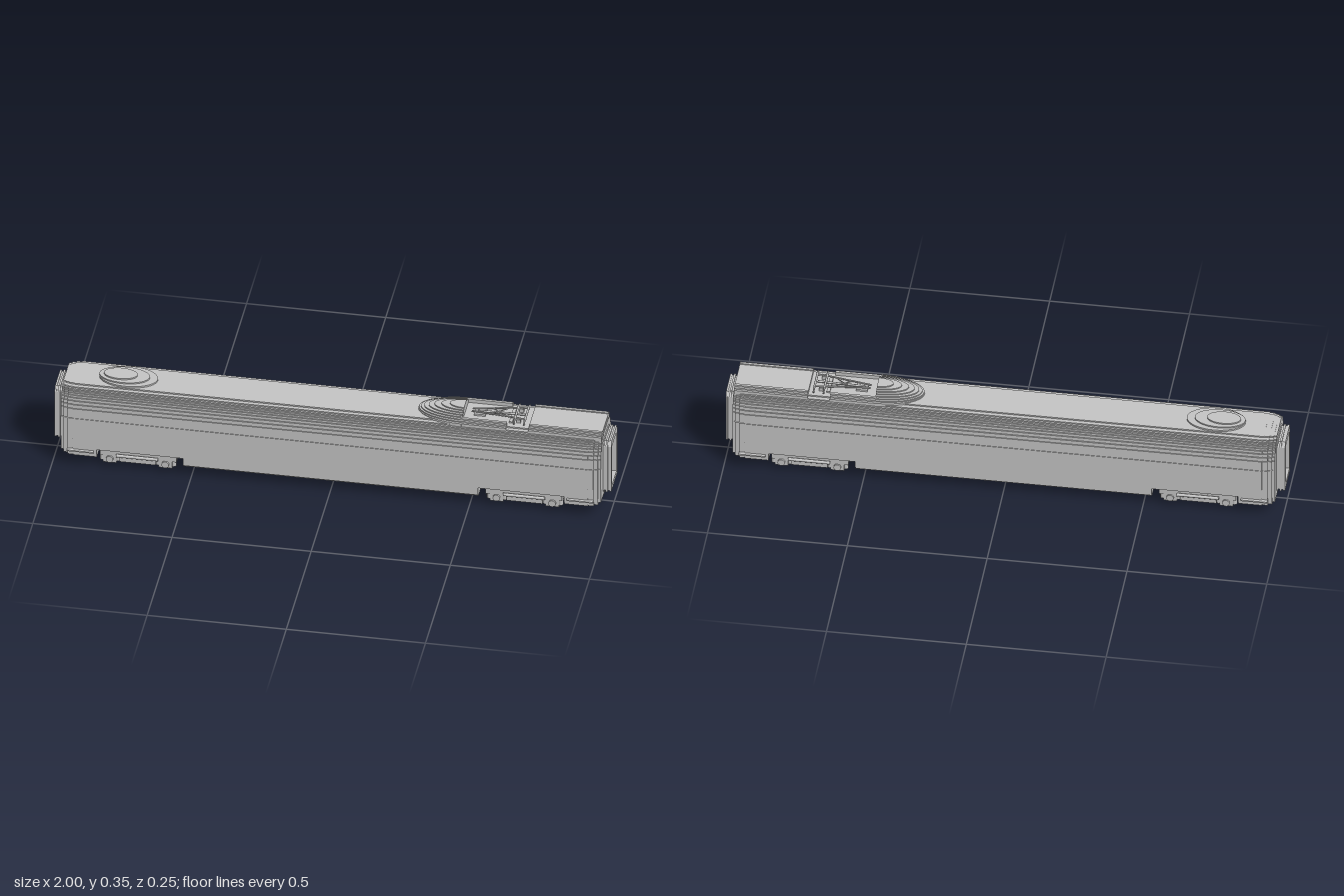
import * as THREE from 'three';

// Stepped half cross-section: [bottom y, half width] of each course, topmost ends at ROOF
const ROWS = [
  [0.035, 0.1], [0.042, 0.108], [0.05, 0.112], [0.06, 0.115], [0.08, 0.118], [0.12, 0.121],
  [0.205, 0.119], [0.245, 0.116], [0.26, 0.112], [0.273, 0.108], [0.284, 0.104], [0.292, 0.1],
  [0.299, 0.096], [0.305, 0.09], [0.31, 0.083], [0.315, 0.068],
];
const ROOF = 0.32;

export function createModel() {
  const grey = new THREE.MeshStandardMaterial({ color: 0xc5c5c5 });
  grey.name = 'lightGrey';
  const model = new THREE.Group();
  model.name = 'railCar';

  const add = (parent, name, geometry) => {
    const mesh = new THREE.Mesh(geometry, grey);
    mesh.name = name;
    parent.add(mesh);
    return mesh;
  };
  // Box given by its limits
  const box = (parent, name, x0, x1, y0, y1, z0, z1) => {
    const m = add(parent, name, new THREE.BoxGeometry(x1 - x0, y1 - y0, z1 - z0));
    m.position.set((x0 + x1) / 2, (y0 + y1) / 2, (z0 + z1) / 2);
  };
  // Round bar between two points
  const bar = (parent, name, a, b, r) => {
    const p = new THREE.Vector3(...a), q = new THREE.Vector3(...b);
    const m = add(parent, name, new THREE.CylinderGeometry(r, r, p.distanceTo(q), 8));
    m.position.copy(p).add(q).multiplyScalar(0.5);
    m.quaternion.setFromUnitVectors(new THREE.Vector3(0, 1, 0), q.sub(p).normalize());
  };
  const wheel = (parent, name, x, y, z, r, width) => {
    const g = new THREE.CylinderGeometry(r, r, width, 20).rotateX(Math.PI / 2);
    add(parent, name, g).position.set(x, y, z);
  };
  // Upright rectangle with chamfered top corners
  const rect = (path, w, y0, y1, c = 0) => {
    path.moveTo(-w, y0);
    path.lineTo(w, y0);
    path.lineTo(w, y1 - c * 1.5);
    if (c) path.lineTo(w - c, y1);
    path.lineTo(c - w, y1);
    if (c) path.lineTo(-w, y1 - c * 1.5);
    path.closePath();
    return path;
  };
  const alongX = (shape, x0, x1) =>
    new THREE.ExtrudeGeometry(shape, { depth: x1 - x0, bevelEnabled: false })
      .rotateY(Math.PI / 2).translate(x0, 0, 0);
  // Length of body shell with the stepped section, cut off below yMin
  const section = (parent, name, x0, x1, yMin, inset = 0, hollow = false) => {
    const side = [];
    ROWS.forEach(([y, w], i) => {
      const drop = inset * 0.2;
      const top = (i + 1 < ROWS.length ? ROWS[i + 1][0] : ROOF) - drop;
      const low = Math.max(y - drop, yMin);
      if (top > low) side.push([w - inset, low], [w - inset, top]);
    });
    const pts = [...side, ...side.slice().reverse().map(([w, y]) => [-w, y])];
    const shape = new THREE.Shape(pts.map(([w, y]) => new THREE.Vector2(w, y)));
    if (hollow) shape.holes.push(rect(new THREE.Path(), 0.047, 0.095, 0.27));
    add(parent, name, alongX(shape, x0, x1));
  };

  // Body
  section(model, 'middleBody', -0.53, 0.53, 0.035);

  // One end with gangway and bogie, built on +x
  const buildEnd = (name, s) => {
    const end = new THREE.Group();
    end.name = name;
    section(end, 'bodyOverBogie', 0.53, 0.84, 0.077);
    section(end, 'vestibule', 0.84, 0.925, 0.042);
    section(end, 'taperOuter', 0.925, 0.945, 0.042, 0.003, true);
    section(end, 'taperMiddle', 0.945, 0.96, 0.048, 0.008, true);
    section(end, 'taperInner', 0.96, 0.97, 0.058, 0.014, true);
    box(end, 'couplerBox', 0.93, 0.968, 0.045, 0.078, -0.034, 0.034);
    for (const z of [-0.118, 0.118]) box(end, 'sideStep', 0.85, 0.945, 0.067, 0.072, z - 0.008, z + 0.008);
    // Gangway bellows
    [[0.968, 0.974, 0.063, 0.08, 0.292], [0.974, 0.98, 0.059, 0.084, 0.288],
      [0.98, 0.987, 0.063, 0.08, 0.292], [0.987, 0.993, 0.059, 0.084, 0.288],
      [0.993, 1, 0.062, 0.082, 0.291]].forEach(([x0, x1, w, y0, y1]) => {
      const ring = rect(new THREE.Shape(), w, y0, y1, 0.012);
      ring.holes.push(rect(new THREE.Path(), 0.045, 0.1, 0.266));
      add(end, 'gangwayRing', alongX(ring, x0, x1));
    });
    // End door in the recess
    const d = 0.925;
    for (const z of [-0.04, -0.004, 0.034]) box(end, 'doorPost', d, d + 0.006, 0.1, 0.265, z, z + 0.007);
    for (const y of [0.105, 0.155, 0.225, 0.255]) box(end, 'doorRail', d, d + 0.005, y, y + 0.006, -0.04, 0.04);
    for (const y of [0.12, 0.17, 0.19]) box(end, 'doorLocker', d, d + 0.012, y, y + 0.016, 0.014, 0.04);

    // Bogie
    const bogie = new THREE.Group();
    bogie.name = 'bogie';
    bogie.position.x = 0.695;
    end.add(bogie);
    box(bogie, 'bolster', -0.035, 0.035, 0.03, 0.08, -0.09, 0.09);
    for (const x of [-0.135, 0.123]) box(bogie, 'endBeam', x, x + 0.012, 0.035, 0.055, -0.09, 0.09);
    for (const x of [-0.1, 0.1]) {
      bar(bogie, 'axle', [x, 0.036, -0.09], [x, 0.036, 0.09], 0.008);
      for (const z of [-0.02, 0.02]) wheel(bogie, 'brakeDisc', x, 0.036, z, 0.022, 0.006);
      for (const z of [-0.052, 0.052]) wheel(bogie, 'wheel', x, 0.036, z, 0.036, 0.014);
      for (const z of [-0.088, 0.088]) {
        box(bogie, 'axleBox', x - 0.024, x + 0.024, 0.02, 0.052, z - 0.012, z + 0.012);
        wheel(bogie, 'axleCap', x, 0.036, z * 1.16, 0.013, 0.01);
        for (const dx of [-0.028, 0.028]) bar(bogie, 'axleSpring', [x + dx, 0.026, z], [x + dx, 0.077, z], 0.01);
      }
    }
    for (const z of [-0.092, 0.092]) {
      box(bogie, 'sideFrame', -0.14, 0.135, 0.05, 0.07, z - 0.012, z + 0.012);
      box(bogie, 'frameDrop', -0.065, 0.065, 0.028, 0.052, z - 0.01, z + 0.01);
      box(bogie, 'airSpring', -0.035, 0.035, 0.068, 0.08, z - 0.014, z + 0.014);
      bar(bogie, 'damper', [-0.075, 0.058, z * 1.2], [0.075, 0.058, z * 1.2], 0.006);
    }
    for (const x of [-0.062, 0.062]) box(bogie, 'brakeBeam', x - 0.008, x + 0.008, 0.025, 0.045, -0.09, 0.09);
    if (s < 0) end.rotation.y = Math.PI;
    model.add(end);
  };
  buildEnd('leftEnd', 1);
  buildEnd('rightEnd', -1);

  // Flat terrace raised from the roof
  const terrace = (name, shape, y0, y1) =>
    add(model, name, new THREE.ExtrudeGeometry(shape, { depth: y1 - y0, bevelEnabled: false, curveSegments: 20 })
      .rotateX(-Math.PI / 2).translate(0, y0, 0));

  // Small oval roof pod
  [[0.105, 0.064, 0.326], [0.09, 0.05, 0.331], [0.06, 0.034, 0.336]].forEach(([rx, rz, y], i) => {
    const oval = new THREE.Shape();
    oval.absellipse(-0.745 - i * 0.014, 0, rx, rz, 0, Math.PI * 2);
    terrace('ovalPod', oval, 0.312, y);
  });

  // Rounded fairing ahead of the pantograph
  for (let i = 0; i < 8; i++) {
    const nose = new THREE.Shape();
    nose.absellipse(0.465, 0, 0.168 - i * i * 0.0023, 0.085 - i * 0.0085, Math.PI / 2, Math.PI * 1.5);
    nose.closePath();
    terrace('fairing', nose, 0.305, 0.323 + i * 0.0043);
  }
  // Side rims and rear deck around the pantograph well
  for (const s of [-1, 1]) {
    for (const [x0, x1] of [[0.46, 0.625], [0.705, 0.968]]) {
      for (const [z, y] of [[0.079, 0.322], [0.071, 0.328], [0.063, 0.334]]) {
        box(model, 'roofRim', x0, x1, 0.3, y, s * z - 0.005, s * z + 0.005);
      }
    }
  }
  box(model, 'rearDeck', 0.705, 0.968, 0.305, 0.33, -0.059, 0.059);

  // Folded pantograph
  const pan = new THREE.Group();
  pan.name = 'pantograph';
  model.add(pan);
  box(pan, 'base', 0.5, 0.54, 0.318, 0.327, -0.02, 0.02);
  box(pan, 'baseCross', 0.63, 0.642, 0.318, 0.326, -0.045, 0.045);
  bar(pan, 'lowerArm', [0.51, 0.328, 0], [0.68, 0.332, 0], 0.004);
  for (const s of [-1, 1]) {
    bar(pan, 'upperArm', [0.49, 0.331, s * 0.008], [0.67, 0.337, s * 0.034], 0.003);
    bar(pan, 'brace', [0.56, 0.333, s * 0.018], [0.62, 0.335, -s * 0.026], 0.002);
    bar(pan, 'headLink', [0.645, 0.336, s * 0.034], [0.69, 0.336, s * 0.034], 0.003);
    box(pan, 'insulator', 0.655, 0.67, 0.318, 0.334, s * 0.034 - 0.006, s * 0.034 + 0.006);
    for (const x of [0.65, 0.686]) bar(pan, 'horn', [x, 0.338, s * 0.045], [x, 0.33, s * 0.064], 0.003);
  }
  for (const x of [0.65, 0.686]) bar(pan, 'contactStrip', [x, 0.338, -0.046], [x, 0.338, 0.046], 0.004);

  return model;
}
